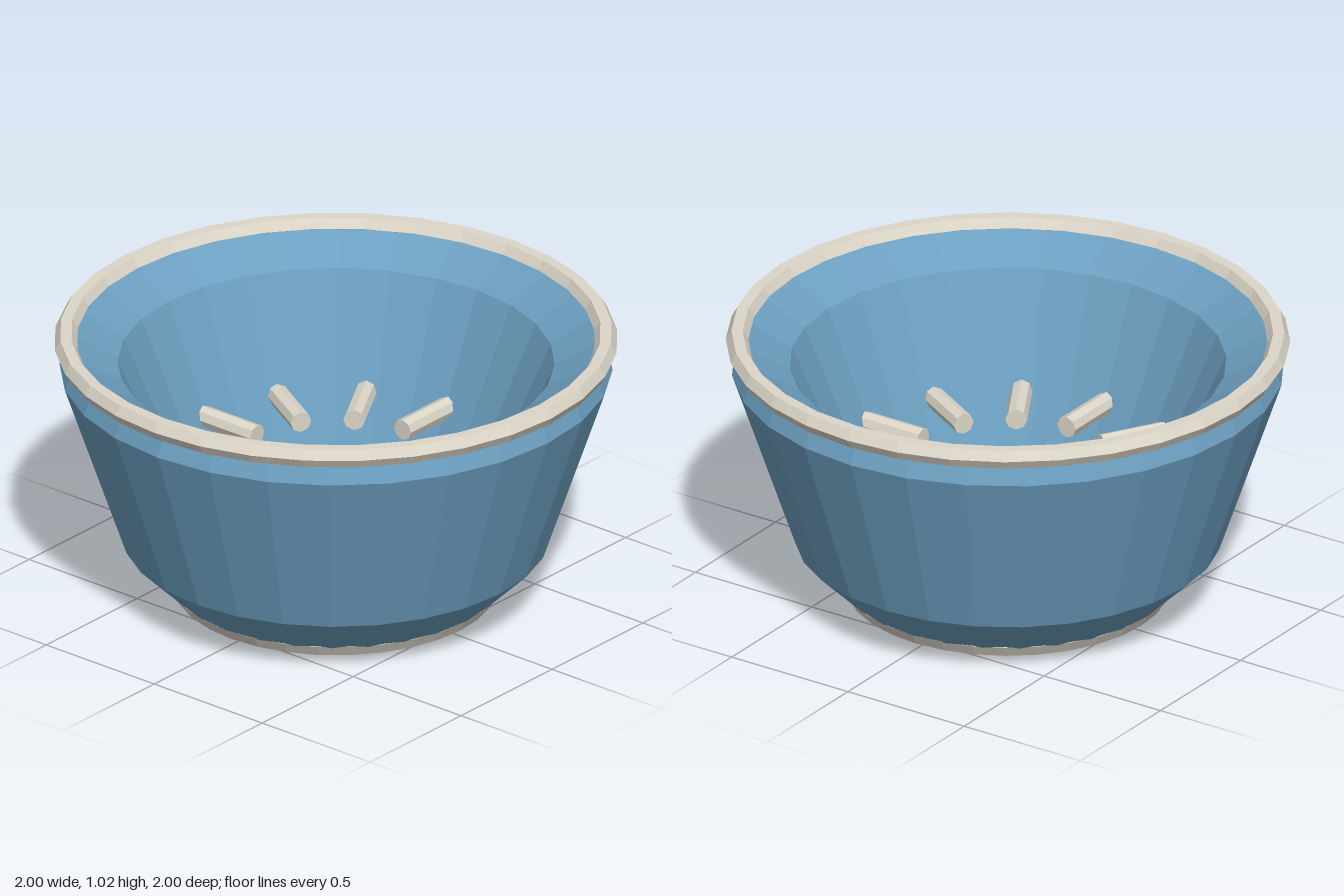
import * as THREE from 'three';

const blue = new THREE.MeshStandardMaterial({ color: 0x6c9fc0, flatShading: true });
const cream = new THREE.MeshStandardMaterial({ color: 0xdcd6c8, flatShading: true });

// horizontal ring with a hexagonal section
function ring(name, radius, tube, y) {
  const geometry = new THREE.TorusGeometry(radius, tube, 6, 32).rotateX(Math.PI / 2);
  const mesh = new THREE.Mesh(geometry, cream);
  mesh.name = name;
  mesh.position.y = y;
  return mesh;
}

export function createModel() {
  const model = new THREE.Group();
  model.name = 'slowFeederBowl';

  // thick-walled bowl: up the outside, over the lip, down the inside
  const profile = [
    [0, 0], [0.28, 0], [0.57, 0.035], [0.757, 0.22], [0.98, 0.88], [0.94, 0.985],
    [0.92, 0.985], [0.775, 0.9], [0.5, 0.27], [0.25, 0.2], [0, 0.2],
  ].map(([x, y]) => new THREE.Vector2(x, y));
  const bowl = new THREE.Mesh(new THREE.LatheGeometry(profile, 28), blue);
  bowl.name = 'bowl';
  model.add(bowl);

  // rim and foot
  model.add(ring('rim', 0.96, 0.04, 0.985), ring('footRing', 0.55, 0.05, 0.065));

  // pegs pointing inward from the wall
  const pegs = new THREE.Group();
  pegs.name = 'pegs';
  const inner = 0.365, outer = 0.63;
  const pegGeometry = new THREE.CylinderGeometry(0.039, 0.039, outer - inner, 8)
    .rotateY(Math.PI / 2)
    .rotateZ(Math.PI / 2)
    .rotateX(Math.PI / 2)
    .translate((inner + outer) / 2, 0.5, 0);
  for (let i = 0; i < 12; i++) {
    const peg = new THREE.Mesh(pegGeometry, cream);
    peg.name = 'peg' + (i + 1);
    peg.rotation.y = (i * Math.PI) / 6;
    pegs.add(peg);
  }
  model.add(pegs);
  return model;
}
